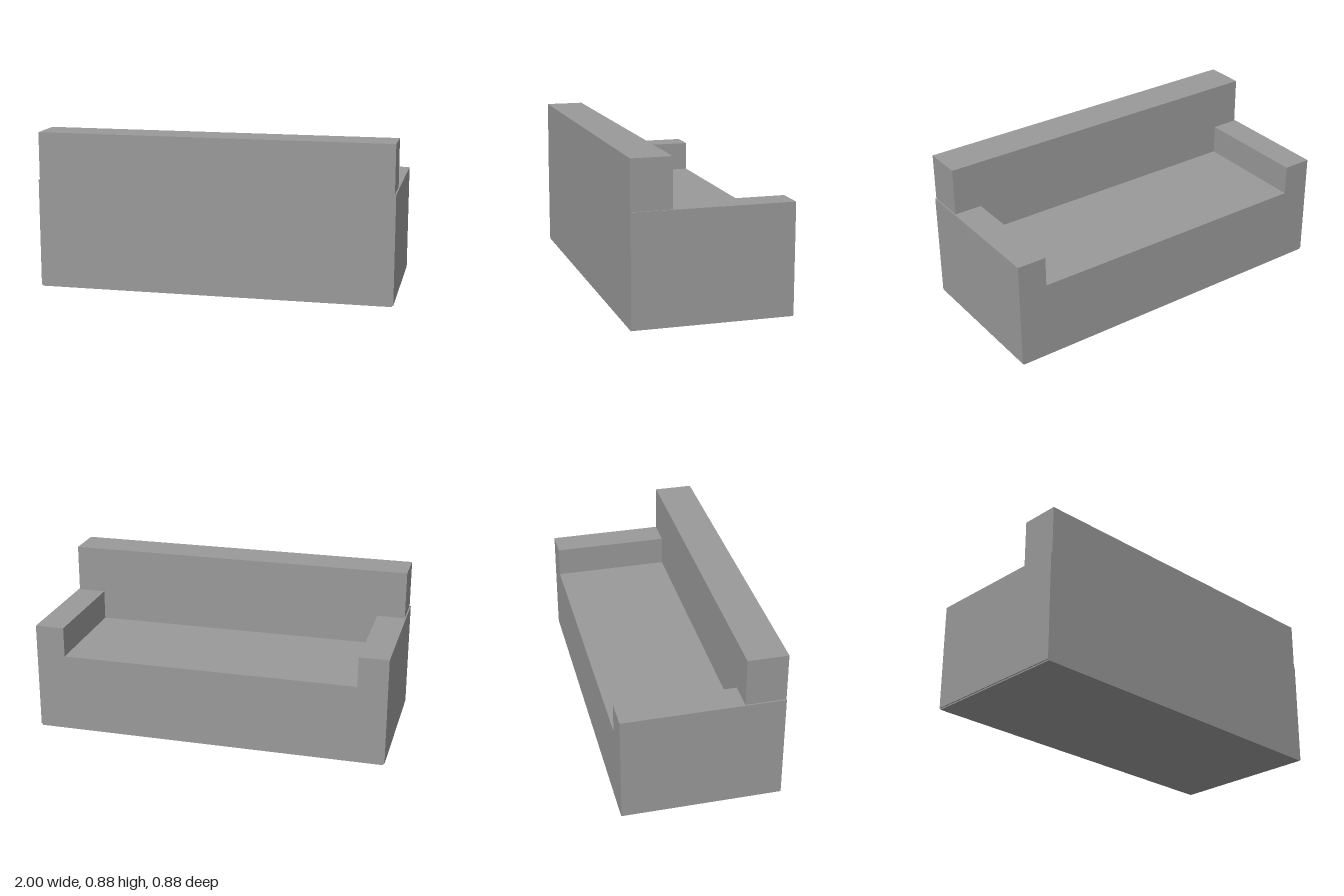
import * as THREE from 'three';

export function createModel() {
  const sofa = new THREE.Group();
  sofa.name = 'sofa';
  const grey = new THREE.MeshStandardMaterial({ color: 0x999999 });
  grey.name = 'grey fabric';

  const depth = 0.44, backFace = 0.22;         // half depth, inner face of the backrest
  const armInner = 0.835, armTop = 0.615, plinthTop = 0.007;
  const seatTop = 0.445, backTop = 0.885, bodyHalf = 0.993;

  // Adds a box given by its min and max corners
  function block(name, [x0, y0, z0], [x1, y1, z1]) {
    const mesh = new THREE.Mesh(new THREE.BoxGeometry(x1 - x0, y1 - y0, z1 - z0), grey);
    mesh.position.set((x0 + x1) / 2, (y0 + y1) / 2, (z0 + z1) / 2);
    mesh.name = name;
    sofa.add(mesh);
  }

  // Thin plinth and the seat between the arms
  block('plinth', [-bodyHalf, 0, -depth], [bodyHalf, plinthTop, depth]);
  block('seat', [-armInner, plinthTop, -depth], [armInner, seatTop, backFace]);

  // Mirrored arms
  block('leftArm', [armInner, plinthTop, -depth], [1, armTop, depth]);
  block('rightArm', [-1, plinthTop, -depth], [-armInner, armTop, depth]);

  // T-shaped backrest: fits between the arms and rests on top of them
  const outline = new THREE.Shape([
    [-armInner, plinthTop], [armInner, plinthTop], [armInner, armTop], [bodyHalf, armTop],
    [bodyHalf, backTop], [-bodyHalf, backTop], [-bodyHalf, armTop], [-armInner, armTop],
  ].map(([x, y]) => new THREE.Vector2(x, y)));
  const backrest = new THREE.Mesh(
    new THREE.ExtrudeGeometry(outline, { depth: depth - backFace, bevelEnabled: false }), grey);
  backrest.position.z = backFace;
  backrest.name = 'backrest';
  sofa.add(backrest);

  return sofa;
}
